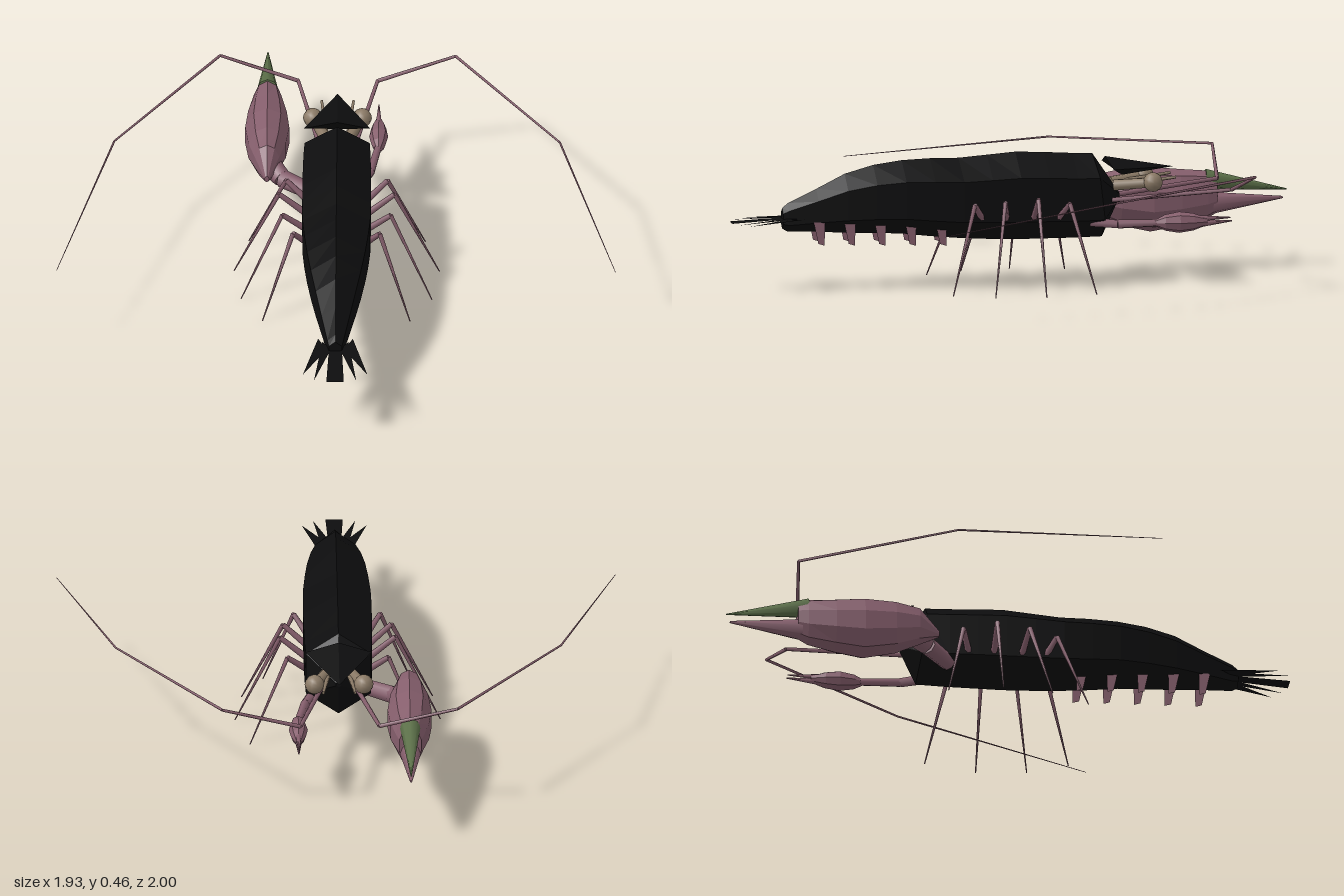
import * as THREE from 'three';

const mat = (name, color, side = THREE.FrontSide) => {
  const m = new THREE.MeshStandardMaterial({ color, side });
  m.name = name;
  return m;
};

// Faceted shell through rings listed tail-ward (rising z): [z, centreY, radiusX, radiusY, shear]
function loft(rings, sides, cx = 0) {
  const point = ([z, cy, rx, ry, shear = 0], j) => {
    const a = (j / sides) * Math.PI * 2;
    return [cx + rx * Math.sin(a), cy + ry * Math.cos(a), z + shear * Math.cos(a)];
  };
  const pos = [];
  const tri = (...pts) => pts.forEach((p) => pos.push(...p));
  const first = rings[0], last = rings[rings.length - 1];
  for (let j = 0; j < sides; j++) {
    for (let i = 0; i < rings.length - 1; i++) {
      const a = point(rings[i], j), b = point(rings[i], j + 1);
      const c = point(rings[i + 1], j), d = point(rings[i + 1], j + 1);
      tri(a, c, b);
      tri(b, c, d);
    }
    tri([cx, first[1], first[0]], point(first, j), point(first, j + 1));
    tri([cx, last[1], last[0]], point(last, j + 1), point(last, j));
  }
  return fromTriangles(pos);
}

function fromTriangles(pos) {
  const g = new THREE.BufferGeometry();
  g.setAttribute('position', new THREE.Float32BufferAttribute(pos, 3));
  g.computeVertexNormals();
  return g;
}

// Tapered rod from p (radius r0) to q (radius r1)
function rod(p, q, r0, r1, sides = 6) {
  const a = new THREE.Vector3(...p), b = new THREE.Vector3(...q);
  const dir = b.clone().sub(a);
  const g = new THREE.CylinderGeometry(r1, r0, dir.length(), sides);
  g.applyQuaternion(new THREE.Quaternion().setFromUnitVectors(new THREE.Vector3(0, 1, 0), dir.normalize()));
  const mid = a.add(b).multiplyScalar(0.5);
  return g.translate(mid.x, mid.y, mid.z);
}

export function createModel() {
  const shell = mat('black shell', 0x0d0d0e);
  const fin = mat('black fin', 0x0d0d0e, THREE.DoubleSide);
  const limb = mat('dusky pink', 0x865f6d);
  const plate = mat('dusky pink plate', 0x865f6d, THREE.DoubleSide);
  const green = mat('moss green', 0x5c7049);
  const tan = mat('tan eye', 0x8b7a66);

  const model = new THREE.Group();
  model.name = 'crustacean';
  const add = (name, geometry, material, parent = model) => {
    const m = new THREE.Mesh(geometry, material);
    m.name = name;
    parent.add(m);
    return m;
  };
  const group = (name) => {
    const g = new THREE.Group();
    g.name = name;
    model.add(g);
    return g;
  };
  // Chain of tapered rods with one radius per point
  const chain = (name, pts, radii, parent, sides = 6) => {
    for (let i = 0; i < pts.length - 1; i++)
      add(name, rod(pts[i], pts[i + 1], radii[i], radii[i + 1], sides), limb, parent);
  };

  // Six-sided body from the head to the tail root
  add('body', loft([
    [-0.365, 0.30, 0.01, 0.01],
    [-0.287, 0.303, 0.13, 0.146, 0.017],
    [-0.2, 0.303, 0.134, 0.148],
    [-0.1, 0.306, 0.136, 0.151],
    [0, 0.308, 0.137, 0.153],
    [0.1, 0.306, 0.137, 0.147],
    [0.2, 0.305, 0.135, 0.14],
    [0.3, 0.31, 0.127, 0.136],
    [0.4, 0.314, 0.116, 0.128],
    [0.5, 0.309, 0.1, 0.119],
    [0.6, 0.297, 0.08, 0.103],
    [0.7, 0.275, 0.056, 0.075],
    [0.8, 0.253, 0.032, 0.05],
    [0.82, 0.25, 0.026, 0.036],
  ], 6), shell);

  // Pointed beak over the eyes
  const tip = [0, 0.395, -0.555];
  const base = [[0, 0.437, -0.315], [0.115, 0.405, -0.325], [0, 0.37, -0.375], [-0.115, 0.405, -0.325]];
  const beak = [];
  base.forEach((p, i) => beak.push(...tip, ...p, ...base[(i + 1) % 4]));
  beak.push(...base[0], ...base[2], ...base[1], ...base[0], ...base[3], ...base[2]);
  add('beak', fromTriangles(beak), fin);

  // Flat tail fan
  const flat = (pts, y0, y1) => {
    const g = new THREE.ShapeGeometry(new THREE.Shape(pts.map(([x, z]) => new THREE.Vector2(x, -z))));
    g.rotateX(-Math.PI / 2);
    const p = g.attributes.position;
    for (let i = 0; i < p.count; i++)
      p.setY(i, y0 + ((y1 - y0) * (p.getZ(i) - 0.75)) / 0.25);
    return g;
  };
  const fan = group('tailFan');
  add('tailCentre', flat([[-0.02, 0.75], [-0.03, 1], [0.03, 1], [0.02, 0.75]], 0.253, 0.24), fin, fan);

  for (const s of [1, -1]) {
    add('outerTailFin', flat([[s * 0.06, 0.75], [s * 0.112, 0.955], [s * 0.03, 0.81]], 0.252, 0.237), fin, fan);
    add('innerTailFin', flat([[s * 0.045, 0.77], [s * 0.073, 0.99], [s * 0.015, 0.81]], 0.254, 0.239), fin, fan);

    // Four walking legs: [root z, knee z, foot z, foot x]
    const legs = group(s > 0 ? 'leftLegs' : 'rightLegs');
    for (const [rz, kz, fz, fx, ky] of [
      [-0.13, -0.16, -0.23, 0.305, 0.3], [-0.045, -0.045, -0.045, 0.355, 0.32],
      [0.05, 0.07, 0.13, 0.33, 0.31], [0.13, 0.17, 0.265, 0.255, 0.3],
    ]) {
      const kx = 0.15 + (fx - 0.255) * 0.5;
      add('upperLeg', rod([s * 0.1, 0.235, rz], [s * kx, ky, kz], 0.012, 0.009), limb, legs);
      add('lowerLeg', rod([s * kx, ky, kz], [s * fx, 0, fz], 0.008, 0.002), limb, legs);
    }

    // Swimming paddles under the abdomen
    for (let i = 0; i < 5; i++) {
      const z = 0.27 + i * 0.107, y = 0.208 + i * 0.003;
      const pos = [[0.02, 0.02], [-0.02, 0.02], [-0.018, -0.062], [0.004, -0.055]]
        .map(([dz, dy]) => [s * 0.05, y + dy, z + dz]);
      add('paddle', fromTriangles([0, 1, 2, 0, 2, 3].flatMap((k) => pos[k])), plate, legs);
    }

    // Eyes on stalks, with short feelers between them
    const head = group(s > 0 ? 'leftHead' : 'rightHead');
    add('eyeStalk', rod([s * 0.035, 0.34, -0.34], [s * 0.08, 0.352, -0.46], 0.02, 0.018, 8), tan, head);
    add('eye', new THREE.SphereGeometry(0.034, 10, 8).translate(s * 0.085, 0.354, -0.468), tan, head);
    add('shortFeeler', rod([s * 0.035, 0.34, -0.36], [s * 0.055, 0.365, -0.555], 0.009, 0.005), tan, head);

    // Long jointed feeler
    chain('longFeeler', [
      [s * 0.05, 0.29, -0.33], [s * 0.137, 0.328, -0.735], [s * 0.407, 0.41, -0.768],
      [s * 0.77, 0.394, -0.26], [s * 0.966, 0.315, 0.425],
    ], [0.009, 0.007, 0.005, 0.0035, 0.001], head);
  }

  // Large right claw
  const big = group('largeClaw');
  chain('largeArm', [[-0.07, 0.215, -0.2], [-0.19, 0.22, -0.29], [-0.235, 0.24, -0.35]], [0.028, 0.032, 0.04], big, 8);
  add('largePalm', loft([
    [-0.75, 0.26, 0.04, 0.07], [-0.715, 0.255, 0.05, 0.085], [-0.62, 0.248, 0.07, 0.1],
    [-0.52, 0.245, 0.08, 0.113], [-0.41, 0.255, 0.068, 0.098],
    [-0.325, 0.265, 0.045, 0.07], [-0.255, 0.24, 0.008, 0.012],
  ], 10, -0.243), limb, big);
  add('fixedFinger', rod([-0.243, 0.225, -0.71], [-0.243, 0.24, -0.985], 0.042, 0.004, 8), limb, big);
  add('movingFinger', rod([-0.243, 0.31, -0.71], [-0.243, 0.268, -0.999], 0.036, 0.002, 8), green, big);

  // Small left claw
  const small = group('smallClaw');
  chain('smallArm', [[0.08, 0.22, -0.25], [0.115, 0.215, -0.34], [0.142, 0.22, -0.49]], [0.018, 0.016, 0.013], small);
  add('smallPalm', loft([
    [-0.65, 0.22, 0.011, 0.012], [-0.6, 0.22, 0.026, 0.03], [-0.55, 0.22, 0.033, 0.037],
    [-0.5, 0.22, 0.024, 0.028], [-0.465, 0.22, 0.008, 0.01],
  ], 8, 0.142), limb, small);
  add('smallLowerFinger', rod([0.142, 0.213, -0.62], [0.142, 0.22, -0.735], 0.013, 0.002), limb, small);
  add('smallUpperFinger', rod([0.142, 0.231, -0.62], [0.142, 0.232, -0.73], 0.011, 0.002), limb, small);

  return model;
}
